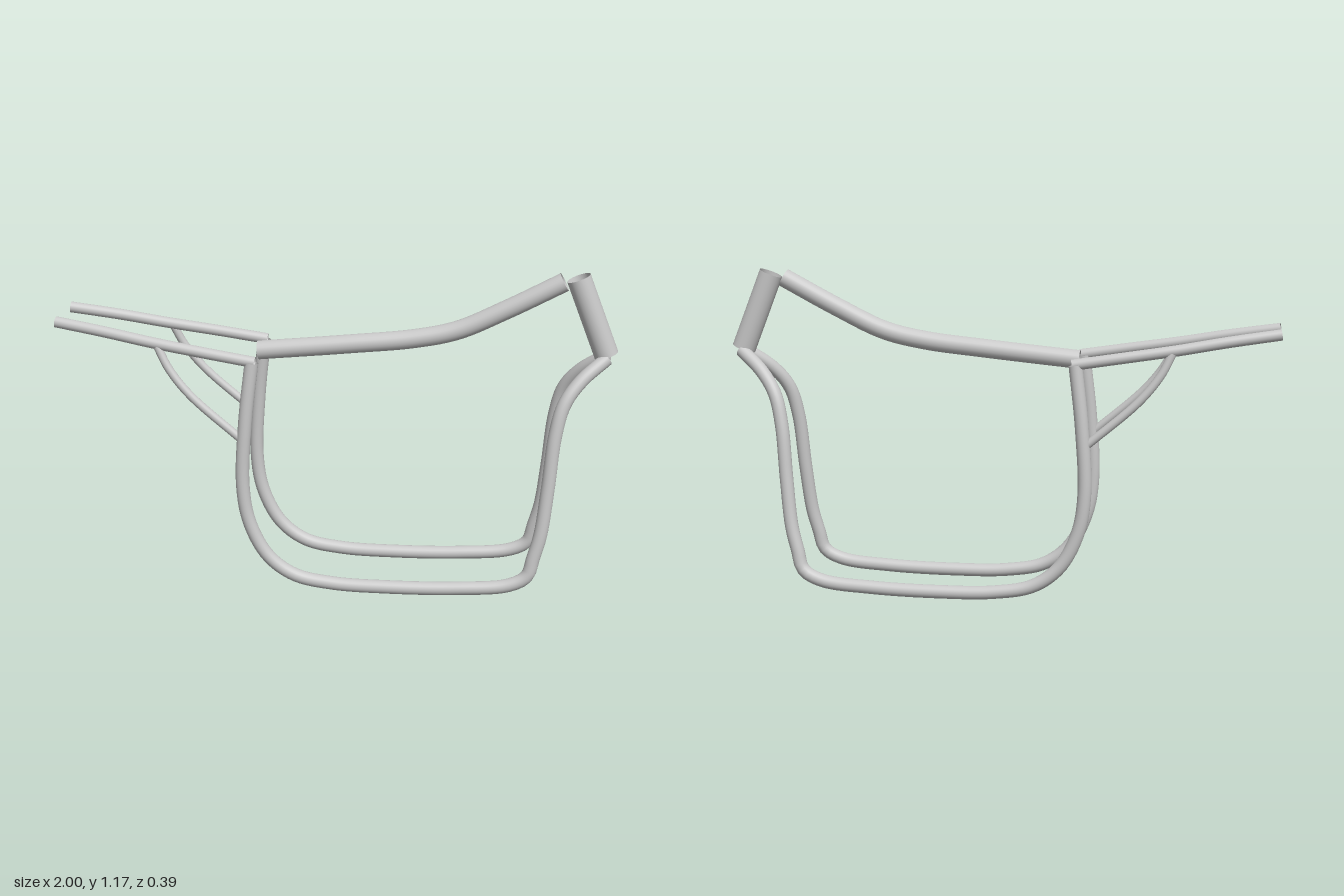
import * as THREE from 'three';

export function createModel() {
  const group = new THREE.Group();
  group.name = 'motorcycleFrame';
  const steel = new THREE.MeshStandardMaterial({ color: 0xc8c8c8, side: THREE.DoubleSide });
  steel.name = 'bare steel';

  // Open round tube along a smooth path; side mirrors the path in z
  function addTube(name, points, radius, segments, side = 1) {
    const path = new THREE.CatmullRomCurve3(
      points.map(([x, y, z]) => new THREE.Vector3(x, y, z * side)), false, 'centripetal');
    const mesh = new THREE.Mesh(new THREE.TubeGeometry(path, segments, radius, 24), steel);
    mesh.name = name;
    group.add(mesh);
  }

  // Steering head and the backbone behind it
  addTube('headTube', [[0.848, 1.162, 0], [0.957, 0.885, 0]], 0.043, 2);
  addTube('backbone', [
    [-0.286, 0.864, 0], [0.05, 0.898, 0], [0.28, 0.925, 0],
    [0.43, 0.96, 0], [0.6, 1.04, 0], [0.8, 1.146, 0],
  ], 0.034, 40);

  for (const [label, side] of [['left', 1], ['right', -1]]) {
    // Cradle: down from the head, under the engine and up to the seat
    addTube(label + 'Cradle', [
      [0.958, 0.878, 0.022], [0.87, 0.807, 0.07], [0.815, 0.73, 0.102],
      [0.787, 0.62, 0.121], [0.768, 0.42, 0.138], [0.748, 0.25, 0.153],
      [0.726, 0.165, 0.16], [0.705, 0.095, 0.165], [0.64, 0.058, 0.168],
      [0.45, 0.037, 0.168], [0.2, 0.03, 0.168], [0, 0.036, 0.168],
      [-0.14, 0.064, 0.168], [-0.235, 0.135, 0.168], [-0.3, 0.26, 0.168],
      [-0.323, 0.4, 0.168], [-0.312, 0.64, 0.164], [-0.287, 0.862, 0.153],
    ], 0.0245, 110, side);

    // Seat rail
    addTube(label + 'SeatRail', [
      [-0.275, 0.863, 0.155], [-0.46, 0.891, 0.149],
      [-0.64, 0.918, 0.137], [-0.82, 0.949, 0.122], [-1, 0.976, 0.105],
    ], 0.02, 24, side);

    // Strut from the seat rail down to the cradle
    addTube(label + 'Strut', [
      [-0.625, 0.908, 0.143], [-0.585, 0.83, 0.152],
      [-0.51, 0.737, 0.16], [-0.32, 0.572, 0.164],
    ], 0.015, 24, side);
  }
  return group;
}
